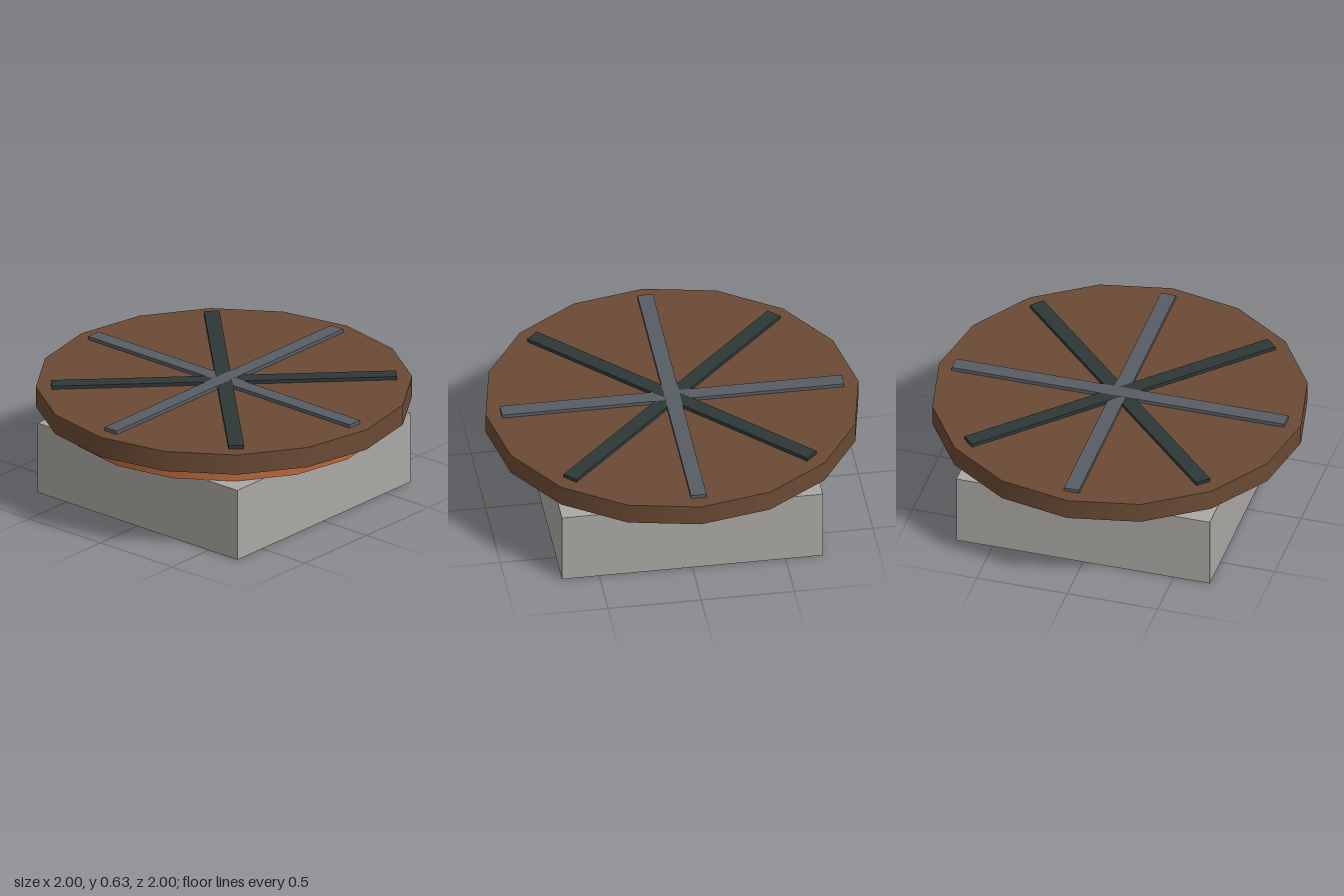
import * as THREE from 'three';

const material = (name, color) => {
  const m = new THREE.MeshStandardMaterial({ color });
  m.name = name;
  return m;
};

export function createModel() {
  const stone = material('stone grey', 0xaaa8a3);
  const copper = material('copper', 0xb8693c);
  const wood = material('brown wood', 0x6a4a34);
  const steel = material('steel grey', 0x585c63);
  const iron = material('dark iron', 0x2d3836);

  const model = new THREE.Group();
  model.name = 'turntable';

  const add = (name, geometry, mat, bottom, top) => {
    const mesh = new THREE.Mesh(geometry, mat);
    mesh.name = name;
    mesh.position.y = (bottom + top) / 2;
    model.add(mesh);
    return mesh;
  };
  const disc = (name, radius, mat, bottom, top) =>
    add(name, new THREE.CylinderGeometry(radius, radius, top - bottom, 16), mat, bottom, top);

  // Square plinth with two stacked discs
  add('base', new THREE.BoxGeometry(1.4, 0.4, 1.4), stone, 0, 0.4);
  disc('bearingRing', 0.865, copper, 0.4, 0.497);
  disc('platform', 1, wood, 0.495, 0.608);

  // Four bars crossing the platform, stepped very slightly where they overlap
  for (let i = 0; i < 4; i++) {
    const top = 0.628 - i * 0.0004;
    const bar = add('bar' + (i + 1), new THREE.BoxGeometry(0.083, top - 0.6, 1.835),
      i % 2 ? iron : steel, 0.6, top);
    bar.rotation.y = i * Math.PI / 4;
  }
  return model;
}
